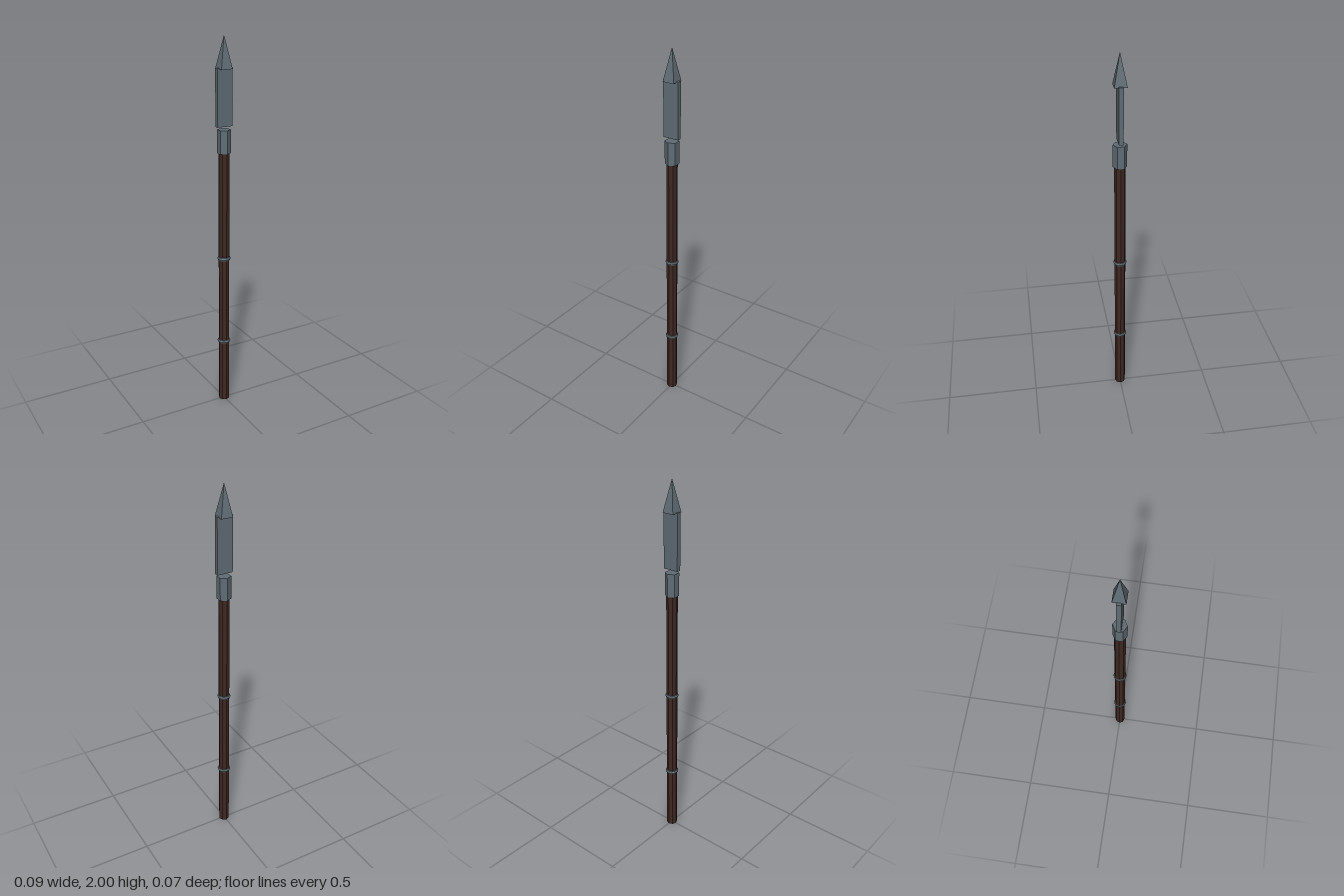
import * as THREE from 'three';

export function createModel() {
  const group = new THREE.Group();
  const steel = new THREE.MeshStandardMaterial({ color: 0x5f6c74 });
  steel.name = 'steel';
  const wood = new THREE.MeshStandardMaterial({ color: 0x3e2822 });
  wood.name = 'dark wood';

  // Adds a faceted part centred at height y
  function add(name, geometry, material, y) {
    const faceted = geometry.index ? geometry.toNonIndexed() : geometry;
    faceted.computeVertexNormals();
    const mesh = new THREE.Mesh(faceted, material);
    mesh.name = name;
    mesh.position.y = y;
    group.add(mesh);
  }

  // Wooden shaft
  add('shaft', new THREE.CylinderGeometry(0.029, 0.029, 1.43, 8), wood, 0.715);

  // Grip rings around the shaft
  [['lowerRing', 0.365], ['upperRing', 0.852]].forEach(([name, y]) => {
    add(name, new THREE.TorusGeometry(0.0235, 0.012, 8, 12).rotateX(Math.PI / 2), steel, y);
  });

  // Hexagonal socket at the top of the shaft
  add('socket', new THREE.CylinderGeometry(0.036, 0.036, 0.12, 6), steel, 1.482);

  // Flat blade floating just above the socket
  add('blade', new THREE.BoxGeometry(0.085, 0.288, 0.023), steel, 1.701);

  // Four-sided point, sides square to the axes
  const point = new THREE.ConeGeometry(0.0445, 0.16, 4).rotateY(Math.PI / 4);
  add('point', point, steel, 1.92);

  return group;
}
